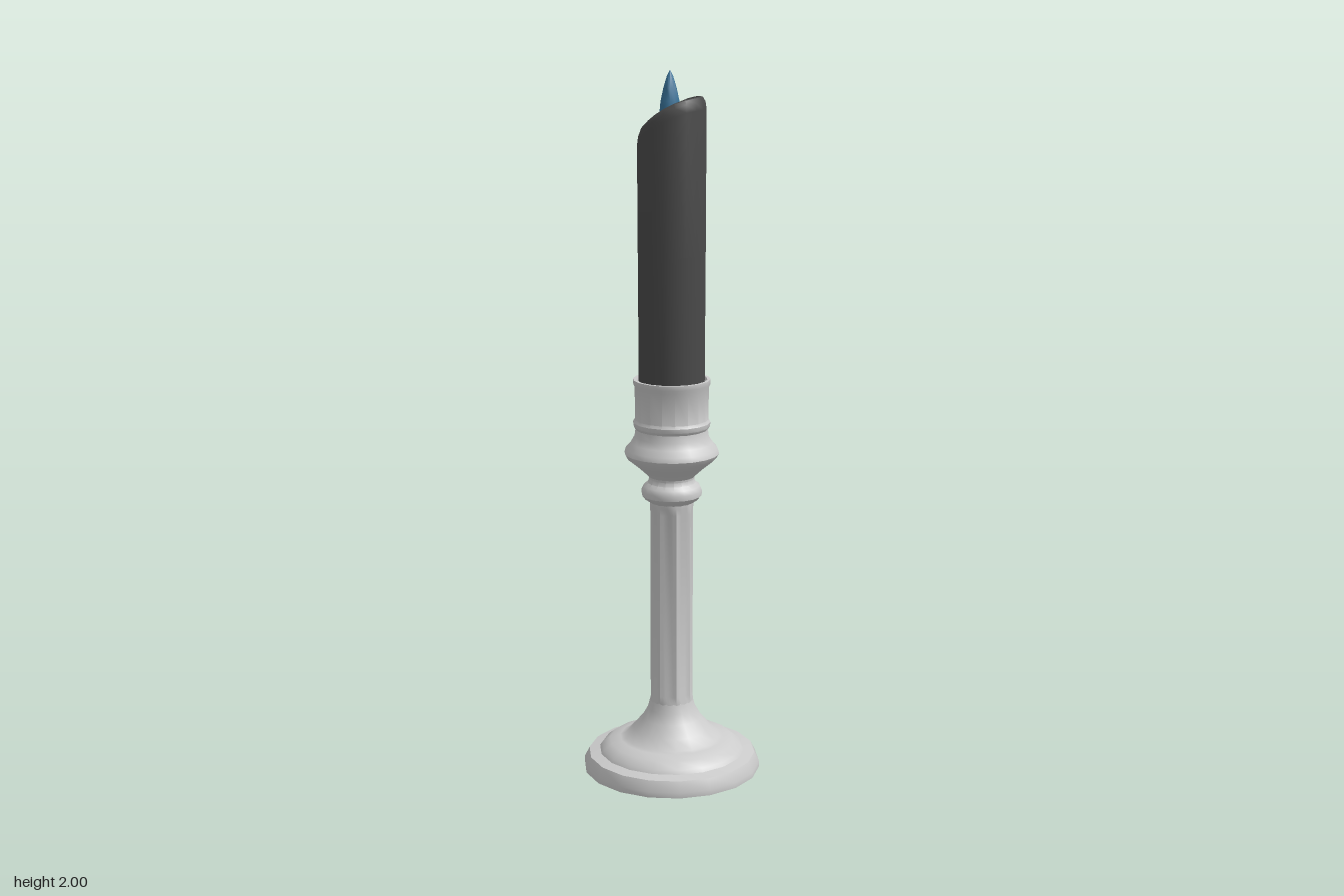
import * as THREE from 'three';
import { toCreasedNormals } from 'three/addons/utils/BufferGeometryUtils.js';

const metal = new THREE.MeshStandardMaterial({ color: 0xcccccc });
const wax = new THREE.MeshStandardMaterial({ color: 0x4a4a4a });
const fire = new THREE.MeshStandardMaterial({ color: 0x397399 });

// Turned part from [radius, height] points; bend may move each vertex
function turned(name, profile, material, { sides = 18, crease = 0.6, bend } = {}) {
  const points = profile.map(([r, y]) => new THREE.Vector2(r, y));
  const lathe = new THREE.LatheGeometry(points, sides);
  lathe.rotateY(Math.PI / 2);
  if (bend) {
    const p = lathe.attributes.position;
    const v = new THREE.Vector3();
    for (let i = 0; i < p.count; i++) {
      v.fromBufferAttribute(p, i);
      bend(v);
      p.setXYZ(i, v.x, v.y, v.z);
    }
  }
  const mesh = new THREE.Mesh(toCreasedNormals(lathe, crease), material);
  mesh.name = name;
  return mesh;
}

export function createModel() {
  const model = new THREE.Group();
  model.name = 'candlestick';

  // Stepped foot sweeping up into the stem
  model.add(turned('foot', [
    [0, 0], [0.255, 0], [0.255, 0.016], [0.241, 0.045], [0.21, 0.052], [0.203, 0.062],
    [0.18, 0.08], [0.15, 0.088], [0.137, 0.092], [0.112, 0.118], [0.085, 0.15],
    [0.069, 0.178], [0.062, 0.205], [0.05, 0.21],
  ], metal));

  // Stem with eight shallow flutes that fade out at both ends
  const stemProfile = [0.19, 0.205, 0.225, 0.5, 0.765, 0.785, 0.805].map((y) => [0.062, y]);
  model.add(turned('flutedStem', stemProfile, metal, {
    sides: 48,
    crease: 0.45,
    bend: (v) => {
      if (v.y < 0.21 || v.y > 0.78) return;
      const scoop = Math.abs(Math.cos(4 * Math.atan2(v.z, v.x)));
      const scale = 1 - 0.1 * scoop;
      v.x *= scale;
      v.z *= scale;
    },
  }));

  // Rounded collar above the stem
  model.add(turned('collar', [
    [0.055, 0.785], [0.063, 0.795], [0.076, 0.803], [0.085, 0.814], [0.086, 0.828],
    [0.08, 0.842], [0.068, 0.851], [0.064, 0.862], [0.066, 0.872],
  ], metal));

  // Bulb and open cup, hollow inside
  model.add(turned('candleCup', [
    [0.06, 0.862], [0.068, 0.872], [0.094, 0.896], [0.126, 0.922], [0.134, 0.936],
    [0.13, 0.95], [0.115, 0.967], [0.105, 0.985], [0.102, 1.006], [0.108, 1.014],
    [0.109, 1.026], [0.104, 1.034], [0.104, 1.125], [0.109, 1.135], [0.109, 1.148],
    [0.1, 1.148], [0.097, 1.14], [0.097, 1.03], [0, 1.03],
  ], metal));

  // Candle, melted lower towards -x and -z, with a hollow around the wick
  model.add(turned('candle', [
    [0, 1.0], [0.092, 1.0], [0.094, 1.5], [0.095, 1.895], [0.092, 1.916], [0.085, 1.928],
    [0.077, 1.93], [0.069, 1.921], [0.061, 1.895], [0.045, 1.875], [0, 1.866],
  ], wax, {
    crease: 0.9,
    bend: (v) => {
      if (v.y < 1.8) return;
      const t = (v.x + v.z) / (Math.SQRT2 * 0.095);
      v.y -= 0.1 * ((1 - t) / 2) ** 2;
    },
  }));

  // Flame, a pointed drop
  const flame = turned('flame', [
    [0, 0], [0.016, 0.006], [0.027, 0.026], [0.03, 0.05], [0.027, 0.08],
    [0.019, 0.115], [0.009, 0.147], [0, 0.164],
  ], fire, { sides: 12, crease: 1.2 });
  flame.scale.z = 0.85;
  flame.position.set(0, 1.836, -0.008);
  model.add(flame);

  return model;
}
